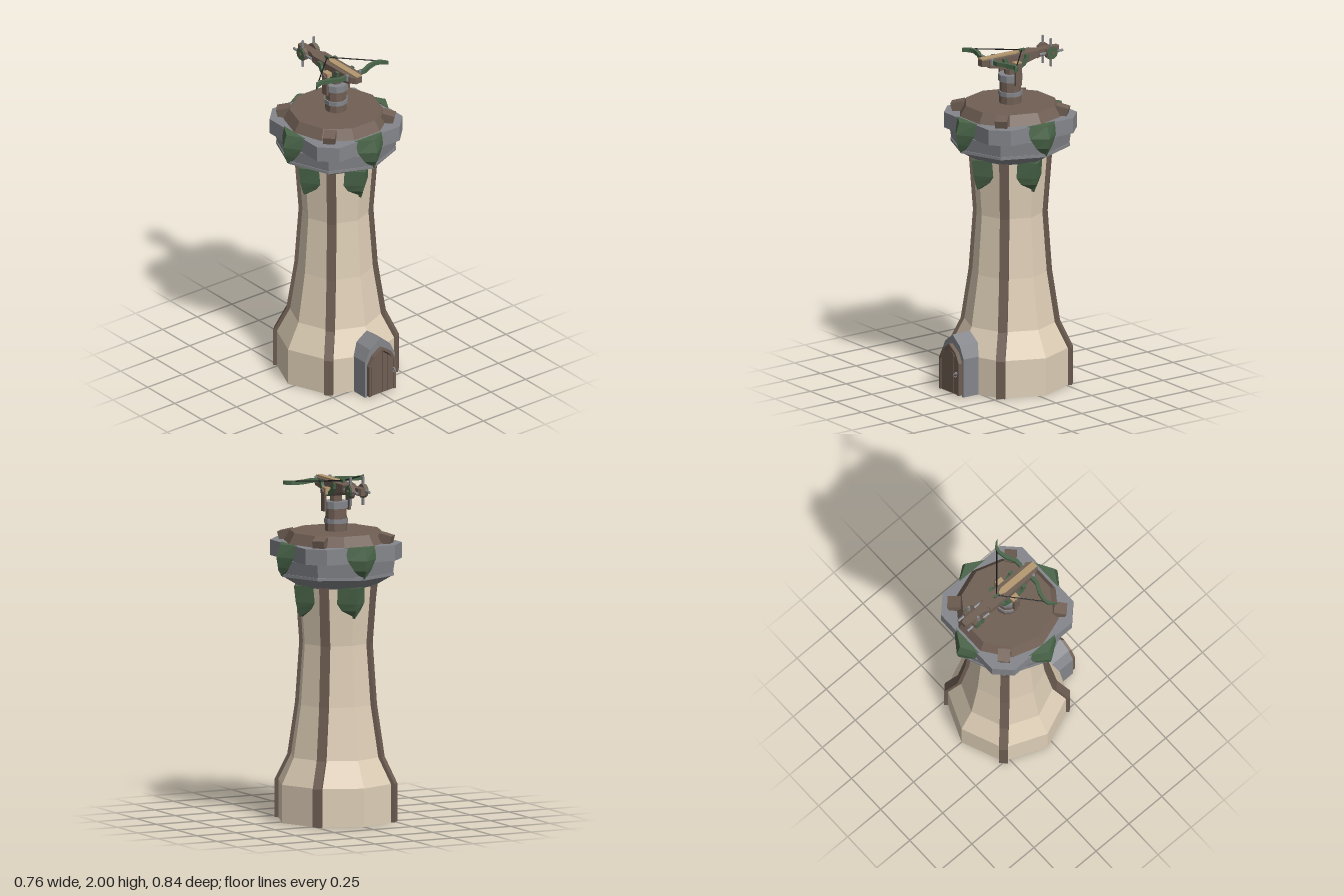
import * as THREE from 'three';

const mat = (name, color, side = THREE.FrontSide) => {
  const m = new THREE.MeshStandardMaterial({ color, side });
  m.name = name;
  return m;
};
const CZ = -0.04; // tower axis

export function createModel() {
  const cream = mat('plaster', 0xdfcfb7, THREE.DoubleSide);
  const brown = mat('wood', 0x705f54);
  const grey = mat('stone', 0x84868b);
  const green = mat('green', 0x4a6549);
  const tan = mat('paleWood', 0xb4986f);
  const black = mat('black', 0x141414);

  const model = new THREE.Group();
  const tower = new THREE.Group();
  tower.name = 'tower';
  tower.position.z = CZ;
  const weapon = new THREE.Group();
  weapon.name = 'crossbow';
  const door = new THREE.Group();
  door.name = 'door';
  model.add(tower, weapon, door);

  // Adds a faceted mesh
  const add = (parent, name, geo, material, x = 0, y = 0, z = 0) => {
    const g = geo.index ? geo.toNonIndexed() : geo;
    g.computeVertexNormals();
    const m = new THREE.Mesh(g, material);
    m.name = name;
    m.position.set(x, y, z);
    parent.add(m);
    return m;
  };
  const box = (w, h, d) => new THREE.BoxGeometry(w, h, d);
  // Prism or frustum standing between two heights
  const drum = (r0, r1, y0, y1, n) =>
    new THREE.CylinderGeometry(r1, r0, y1 - y0, n).translate(0, (y0 + y1) / 2, 0);
  const shape = pts => new THREE.Shape(pts.map(p => new THREE.Vector2(...p)));
  const extrude = (s, depth) => new THREE.ExtrudeGeometry(s, { depth, bevelEnabled: false });
  // Side profile in (z, y), given a width in x
  const sideCut = (pts, w) => extrude(shape(pts), w).translate(0, 0, -w / 2).rotateY(-Math.PI / 2);
  // Plan outline in (x, z), given a height
  const planCut = (pts, y0, y1) => extrude(shape(pts), y1 - y0).rotateX(Math.PI / 2).translate(0, y1, 0);
  const mirrorPts = pts => [...pts, ...pts.slice().reverse().filter(p => p[0] > 0).map(([x, y]) => [-x, y])];

  // Closed solid through rings of equal length, bottom to top
  function loft(rings) {
    const n = rings[0].length, idx = [];
    for (let i = 0; i < rings.length - 1; i++) for (let j = 0; j < n; j++) {
      const a = i * n + j, b = i * n + (j + 1) % n;
      idx.push(a, b, b + n, a, b + n, a + n);
    }
    const t = (rings.length - 1) * n;
    for (let j = 1; j < n - 1; j++) idx.push(0, j + 1, j, t, t + j, t + j + 1);
    const g = new THREE.BufferGeometry();
    g.setAttribute('position', new THREE.Float32BufferAttribute(rings.flat(2), 3));
    g.setIndex(idx);
    return g;
  }
  // Ridged shield: rows of [y, half width, edge depth, ridge depth]
  const shield = rows => loft(rows.map(([y, w, e, r]) => [[-w, y, e], [0, y, r], [w, y, e]]));

  // Eight-sided flared shaft, open below
  const profile = [[0.346, 0], [0.346, 0.22], [0.271, 0.37], [0.225, 0.67], [0.2, 1.02], [0.227, 1.38]];
  add(tower, 'shaft', new THREE.LatheGeometry(profile.map(p => new THREE.Vector2(...p)), 8), cream);

  // Two crossed timber slabs, whose edges show as ribs on the diagonal corners
  const slab = mirrorPts(profile.map(([r, y]) => [r + 0.011, y]));
  for (const s of [-1, 1]) add(tower, 'ribSlab', sideCut(slab, 0.052).rotateY(s * Math.PI / 4), brown);

  // Stone crown
  add(tower, 'corbel', drum(0.225, 0.335, 1.35, 1.415, 8), grey);
  add(tower, 'crownTrim', drum(0.345, 0.345, 1.415, 1.432, 8), grey);
  add(tower, 'crownLower', drum(0.34, 0.352, 1.432, 1.51, 8), grey);
  const A = 0.309, B = 0.218;
  add(tower, 'crownUpper', planCut([[A, -B], [A, B], [B, A], [-B, A], [-A, B], [-A, -B], [-B, -A], [B, -A]], 1.51, 1.6), grey);

  // Wooden deck with tilted corner blocks
  add(tower, 'deck', drum(0.3, 0.265, 1.6, 1.66, 10).rotateY(Math.PI / 10), brown);
  for (let k = 0; k < 4; k++) {
    const a = k * Math.PI / 2;
    add(tower, 'deckBlock', box(0.07, 0.06, 0.075).rotateX(0.25).translate(0, 1.623, 0.297).rotateY(a + Math.PI / 4), brown);
    // Green shields on the crown and below it
    add(tower, 'crownShield', shield([
      [1.422, 0.004, 0.33, 0.352], [1.47, 0.054, 0.33, 0.372], [1.53, 0.09, 0.318, 0.382], [1.603, 0.098, 0.3, 0.358],
    ]).rotateY(a), green);
    add(tower, 'wallShield', shield([
      [1.18, 0.004, 0.2, 0.232], [1.225, 0.062, 0.19, 0.248], [1.265, 0.09, 0.18, 0.258], [1.36, 0.097, 0.18, 0.27],
    ]).rotateY(a), green);
  }

  // Banded post
  add(tower, 'post', drum(0.064, 0.06, 1.66, 1.82, 10), brown);
  add(tower, 'postBand', drum(0.069, 0.069, 1.705, 1.73, 10), grey);
  add(tower, 'postCap', drum(0.07, 0.07, 1.79, 1.83, 10), grey);
  add(tower, 'pivot', drum(0.035, 0.035, 1.82, 1.88, 8), brown);

  // Stock with tapered nose, narrower tail and a pale bolt channel
  add(weapon, 'stock', sideCut([
    [0.135, 1.9], [0.135, 1.946], [-0.2, 1.945], [-0.2, 1.905], [-0.12, 1.885],
    [-0.08, 1.865], [0, 1.865], [0.05, 1.885],
  ], 0.086), brown);
  add(weapon, 'nose', planCut(mirrorPts([[0.043, 0.134], [0.04, 0.145], [0.02, 0.172]]), 1.908, 1.946), brown);
  add(weapon, 'tail', planCut(mirrorPts([[0.043, -0.199], [0.023, -0.24], [0.022, -0.355], [0.014, -0.372]]), 1.9, 1.942), brown);
  add(weapon, 'boltChannel', planCut(mirrorPts([[0.019, 0.171], [0.019, -0.07], [0.006, -0.1]]), 1.942, 1.954), tan);
  add(weapon, 'trigger', box(0.012, 0.035, 0.035), green, 0, 1.945, -0.12);

  // Recurved bow
  const front = [[0.045, 0.118], [0.09, 0.118], [0.14, 0.094], [0.195, 0.077], [0.225, 0.086], [0.258, 0.114]];
  const back = [[0.25, 0.095], [0.228, 0.068], [0.195, 0.06], [0.14, 0.07], [0.09, 0.096], [0.045, 0.096]];
  add(weapon, 'bow', planCut(mirrorPts([...front, ...back]), 1.92, 1.944), green);

  // Bowstring
  for (const s of [-1, 1]) {
    const line = new THREE.LineCurve3(new THREE.Vector3(s * 0.205, 1.942, 0.062), new THREE.Vector3(0, 1.955, -0.12));
    add(weapon, 'bowstring', new THREE.TubeGeometry(line, 1, 0.0035, 5), black);
  }

  // Curved green side plates
  const arc = [];
  for (const [rz, ry] of [[0.09, 0.082], [0.066, 0.056]]) {
    const half = [];
    for (let i = 0; i <= 8; i++) {
      const a = Math.PI * (1 + i / 8);
      half.push([CZ + Math.cos(a) * rz, 1.942 + Math.sin(a) * ry]);
    }
    arc.push(...(arc.length ? half.reverse() : half));
  }

  for (const s of [-1, 1]) {
    add(weapon, 'sidePlate', sideCut(arc, 0.018).translate(s * 0.054, 0, 0), green);
    // Yoke holding the stock
    add(weapon, 'yokeArm', box(0.014, 0.13, 0.042), brown, s * 0.078, 1.84, CZ);
    add(weapon, 'yokeBlock', box(0.034, 0.04, 0.046), tan, s * 0.063, 1.892, CZ);
    add(weapon, 'yokePin', new THREE.CylinderGeometry(0.016, 0.016, 0.014, 6).rotateZ(Math.PI / 2), brown, s * 0.086, 1.89, CZ);
    add(weapon, 'bowBolt', new THREE.CylinderGeometry(0.009, 0.009, 0.036, 6), grey, s * 0.045, 1.936, 0.121);

    // Windlass wheel with crossed handles
    const wheel = new THREE.Group();
    wheel.name = 'windlass';
    wheel.position.set(s * 0.04, 1.918, -0.296);
    weapon.add(wheel);
    add(wheel, 'wheel', new THREE.CylinderGeometry(0.041, 0.041, 0.022, 10).rotateZ(Math.PI / 2), brown);
    add(wheel, 'wheelFace', new THREE.CylinderGeometry(0.036, 0.036, 0.009, 10).rotateZ(Math.PI / 2), green, s * 0.013);
    for (let k = 0; k < 4; k++) {
      const handle = new THREE.CylinderGeometry(0.008, 0.008, 0.05, 6).translate(0, 0.057, 0);
      add(wheel, 'handle', handle.rotateX(k * Math.PI / 2), grey);
    }
  }
  add(weapon, 'axle', new THREE.CylinderGeometry(0.011, 0.011, 0.125, 6).rotateZ(Math.PI / 2), brown, 0, 1.918, -0.296);

  // Pointed arch outline and arch ring
  const arch = (w, spring, top, y0 = 0) =>
    mirrorPts([[w, y0], [w, spring], [w * 0.66, spring + (top - spring) * 0.58], [0, top]]);
  const archRing = (o, i, depth) => extrude(shape([...o, ...i.slice().reverse()]), depth);
  // Each ring starts and ends at a foot of the arch, leaving the bottom open
  add(door, 'stoneArch', archRing(arch(0.107, 0.225, 0.348), arch(0.094, 0.2, 0.297), 0.165), grey, 0, 0, 0.2);
  add(door, 'doorFrame', archRing(arch(0.095, 0.2, 0.298, 0.01), arch(0.08, 0.193, 0.28, 0.01), 0.035), brown, 0, 0, 0.355);
  add(door, 'doorGap', extrude(shape(arch(0.09, 0.2, 0.29, 0.01)), 0.009), black, 0, 0, 0.355);
  // Planks with tops cut to the arch
  const topAt = x => 0.277 - Math.abs(x) * 0.85;
  for (let i = 0; i < 4; i++) {
    const x0 = -0.076 + i * 0.0385, x1 = x0 + 0.0365;
    add(door, 'plank', extrude(shape([[x0, 0.012], [x1, 0.012], [x1, topAt(x1)], [x0, topAt(x0)]]), 0.027), brown, 0, 0, 0.36);
  }
  add(door, 'handleStem', box(0.01, 0.01, 0.02), grey, 0.076, 0.143, 0.395);
  add(door, 'handleRing', new THREE.TorusGeometry(0.012, 0.003, 5, 10).rotateY(Math.PI / 2), grey, 0.076, 0.132, 0.4);

  return model;
}
